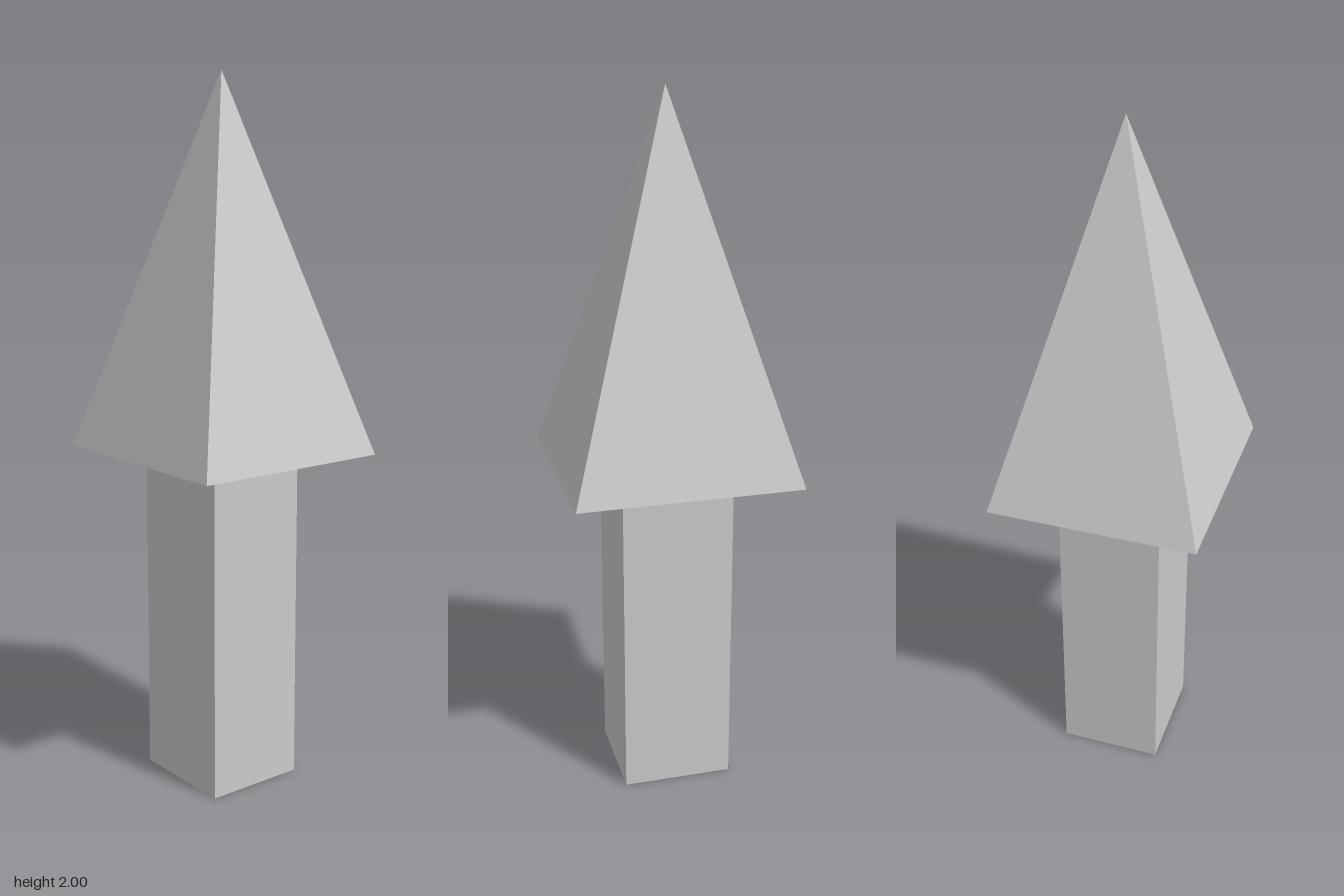
import * as THREE from 'three';

const HALF_X = 0.316, HALF_Z = 0.295; // half extents of the head's base
const SHAFT_TOP = 0.96, TIP = 2;

export function createModel() {
  const group = new THREE.Group();
  group.name = 'arrow';
  const material = new THREE.MeshStandardMaterial({ color: 0xcccccc, flatShading: true });

  const add = (name, geometry) => {
    const mesh = new THREE.Mesh(geometry, material);
    mesh.name = name;
    group.add(mesh);
  };

  // Rectangular shaft, half as wide as the head
  add('shaft', new THREE.BoxGeometry(HALF_X, SHAFT_TOP, HALF_Z).translate(0, SHAFT_TOP / 2, 0));

  // Four-sided pyramid head, turned so its sides face the axes
  const height = TIP - SHAFT_TOP;
  add('head', new THREE.ConeGeometry(Math.SQRT2, height, 4)
    .rotateY(Math.PI / 4)
    .scale(HALF_X, 1, HALF_Z)
    .translate(0, SHAFT_TOP + height / 2, 0));

  return group;
}
